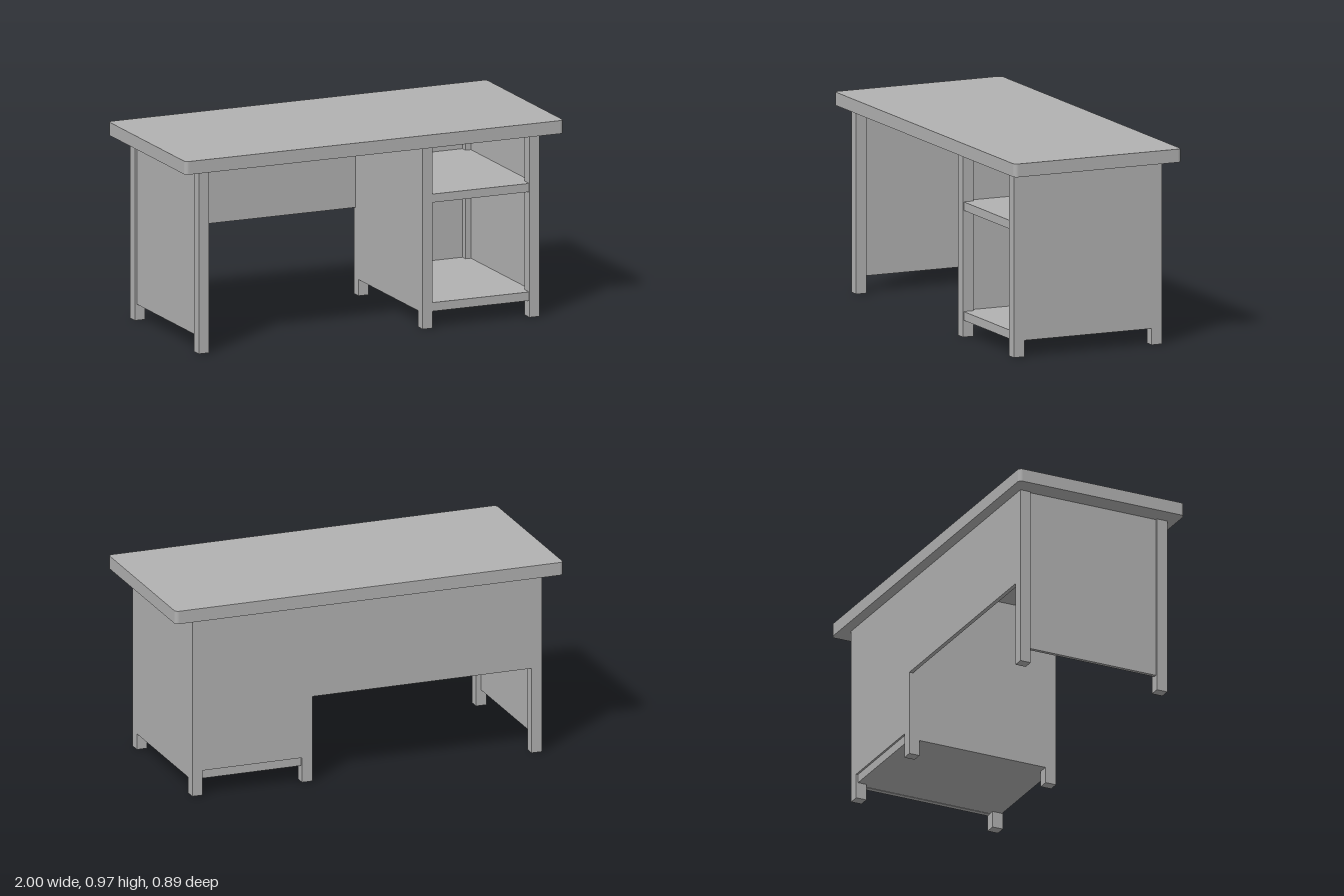
import * as THREE from 'three';

export function createModel() {
  const desk = new THREE.Group();
  desk.name = 'desk';
  const grey = new THREE.MeshStandardMaterial({ color: 0xb2b2b2 });
  grey.name = 'plain grey';

  // Box given by its extents along each axis
  function block(name, [x0, x1], [y0, y1], [z0, z1]) {
    const mesh = new THREE.Mesh(new THREE.BoxGeometry(x1 - x0, y1 - y0, z1 - z0), grey);
    mesh.position.set((x0 + x1) / 2, (y0 + y1) / 2, (z0 + z1) / 2);
    mesh.name = name;
    desk.add(mesh);
  }

  const under = 0.905, topY = 0.97;
  const back = [-0.392, -0.337], front = [0.342, 0.398];
  const between = [back[1], front[0]];

  // Tabletop with small rounded corners
  const w = 1, d = 0.445, r = 0.02;
  const outline = new THREE.Shape();
  outline.absarc(w - r, d - r, r, 0, Math.PI / 2);
  outline.absarc(-w + r, d - r, r, Math.PI / 2, Math.PI);
  outline.absarc(-w + r, -d + r, r, Math.PI, Math.PI * 1.5);
  outline.absarc(w - r, -d + r, r, Math.PI * 1.5, Math.PI * 2);
  const top = new THREE.Mesh(
    new THREE.ExtrudeGeometry(outline, { depth: topY - under, bevelEnabled: false, curveSegments: 5 }), grey);
  top.rotation.x = -Math.PI / 2;
  top.position.y = under;
  top.name = 'tabletop';
  desk.add(top);

  // Three pairs of legs
  const legs = { outer: [-0.908, -0.855], middle: [0.275, 0.328], cabinet: [0.84, 0.893] };
  for (const [name, x] of Object.entries(legs)) {
    block(name + 'FrontLeg', x, [0, under], front);
    block(name + 'BackLeg', x, [0, under], back);
  }

  // Side panels: the outer one is set in, the cabinet ones are flush outside
  block('outerSidePanel', [-0.898, -0.88], [0.08, under], between);
  block('cabinetInnerSide', [0.275, 0.3], [0.08, under], between);
  block('cabinetOuterSide', [0.868, 0.893], [0.08, under], between);

  // Back panels
  block('modestyPanel', [-0.855, 0.275], [0.43, under], [back[0], -0.372]);
  block('cabinetBack', [0.328, 0.84], [0.125, under], [back[0], -0.372]);

  // Shelves, filling the space between the legs and reaching the side panels
  for (const [name, y] of [['bottomShelf', [0.082, 0.125]], ['upperShelf', [0.62, 0.662]]]) {
    block(name, [0.328, 0.84], y, [name === 'bottomShelf' ? -0.382 : -0.372, 0.393]);
    block(name + 'InnerEdge', [0.3, 0.328], y, between);
    block(name + 'OuterEdge', [0.84, 0.868], y, between);
  }
  return desk;
}
